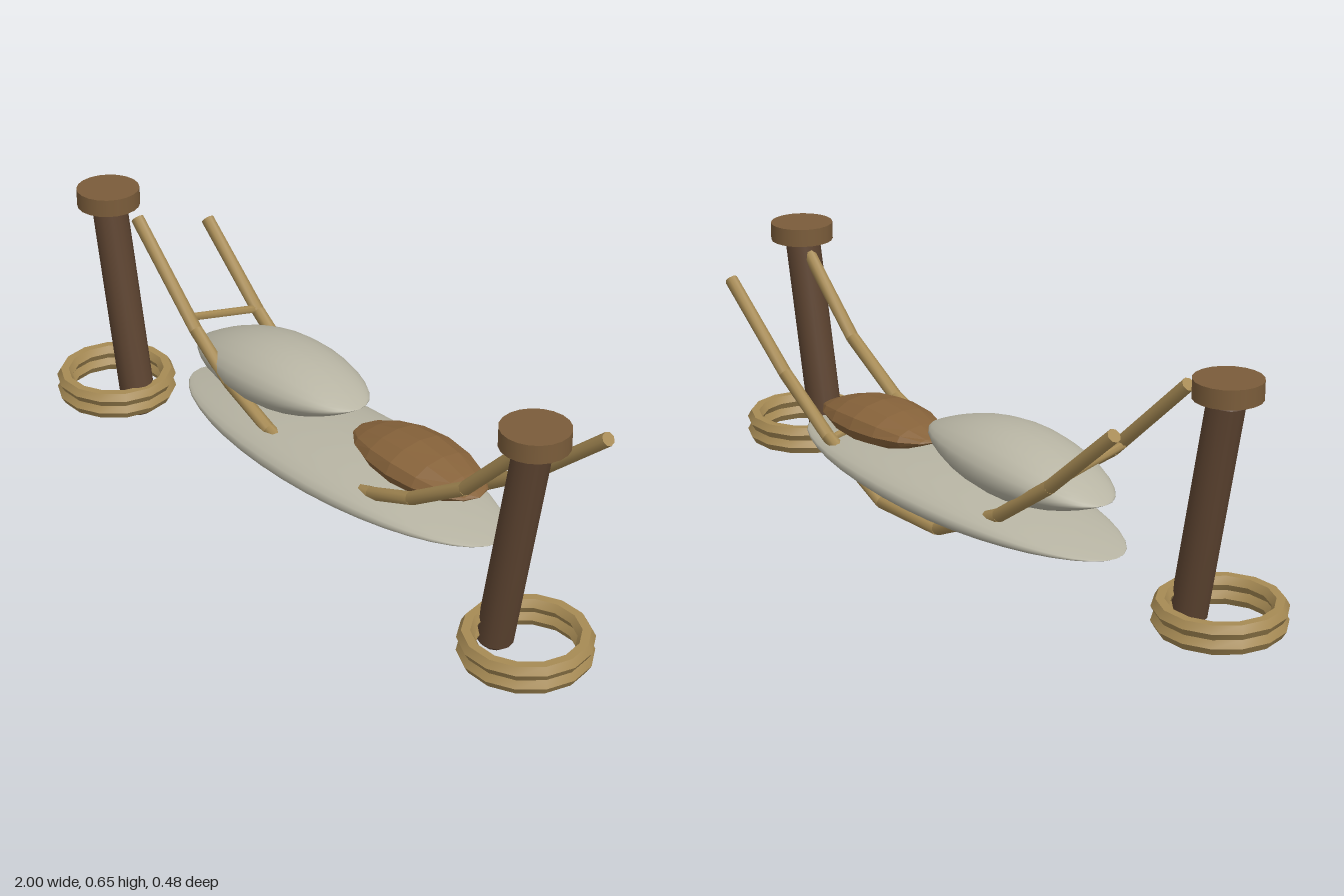
import * as THREE from 'three';
import { toCreasedNormals } from 'three/addons/utils/BufferGeometryUtils.js';

const mat = (name, color, opts = {}) => {
  const m = new THREE.MeshStandardMaterial({ color, ...opts });
  m.name = name;
  return m;
};

export function createModel() {
  const postWood = mat('dark post wood', 0x5c4330);
  const capWood = mat('cap wood', 0x7a5c3a);
  const rope = mat('rope', 0xa68a54);
  const cream = mat('cream cloth', 0xb7b4a3);
  const brown = mat('brown cloth', 0x86623a, { flatShading: true });

  const model = new THREE.Group();
  model.name = 'hammock';
  const add = (name, geo, material, parent = model) => {
    const m = new THREE.Mesh(geo, material);
    m.name = name;
    parent.add(m);
    return m;
  };

  // Round bar between two points
  const UP = new THREE.Vector3(0, 1, 0);
  const bar = (name, a, b, r, parent) => {
    const p = new THREE.Vector3(...a), q = new THREE.Vector3(...b);
    const d = q.clone().sub(p);
    const geo = toCreasedNormals(new THREE.CylinderGeometry(r, r, d.length(), 8), 1);
    const m = add(name, geo, rope, parent);
    m.position.copy(p).add(q).multiplyScalar(0.5);
    m.quaternion.setFromUnitVectors(UP, d.normalize());
  };

  // Rounded in plan and section, pointed along x in elevation
  const lens = (name, material, centre, half, tilt, around, along) => {
    const geo = new THREE.SphereGeometry(1, around, along);
    geo.rotateZ(-Math.PI / 2);
    const pos = geo.attributes.position;
    for (let i = 0; i < pos.count; i++) {
      const x = pos.getX(i);
      pos.setY(i, pos.getY(i) * Math.sqrt(Math.max(0, 1 - x * x)));
    }
    geo.scale(...half);
    geo.computeVertexNormals();
    const m = add(name, geo, material);
    m.position.set(...centre);
    m.rotation.z = tilt;
  };

  // Leaning posts with chamfered ends, level caps and two stacked rope rings
  const postZ = 0.076;
  for (const [side, s] of [['left', 1], ['right', -1]]) {
    const group = new THREE.Group();
    group.name = side + 'PostGroup';
    model.add(group);

    const foot = new THREE.Vector3(0.725 * s, 0.006, postZ);
    const axis = new THREE.Vector3(0.832 * s, 0.606, postZ).sub(foot);
    const len = axis.length();
    const profile = [[0, 0], [0.033, 0], [0.0475, 0.016], [0.0475, len - 0.016], [0.036, len], [0, len]]
      .map(([r, y]) => new THREE.Vector2(r, y));
    const post = add(side + 'Post', toCreasedNormals(new THREE.LatheGeometry(profile, 12), 0.6), postWood, group);
    post.position.copy(foot);
    post.quaternion.setFromUnitVectors(UP, axis.normalize());

    const cap = add(side + 'PostCap', new THREE.CylinderGeometry(0.085, 0.085, 0.048, 20), capWood, group);
    cap.position.set(0.834 * s, 0.626, postZ);

    for (const y of [0.041, 0.078]) {
      const ring = toCreasedNormals(new THREE.TorusGeometry(0.144, 0.022, 6, 14).rotateX(Math.PI / 2), 0.6);
      add(side + 'RopeRing', ring, rope, group).position.set(0.834 * s, y, postZ);
    }
  }

  // Cloth bed and the two cushions
  lens('clothBed', cream, [0, 0.163, -0.045], [0.6, 0.06, 0.198], 0.017, 28, 20);
  lens('creamCushion', cream, [-0.243, 0.298, -0.047], [0.318, 0.086, 0.143], 0.06, 24, 16);
  lens('brownCushion', brown, [0.285, 0.257, -0.067], [0.225, 0.058, 0.113], -0.02, 12, 8);

  // Suspension ropes sagging under the bed
  const ropes = {
    frontRope: [0.07, [[-0.71, 0.602], [-0.46, 0.367], [-0.32, 0.27], [-0.15, 0.2], [-0.05, 0.17],
      [0.15, 0.17], [0.26, 0.2], [0.41, 0.257], [0.6, 0.375], [0.8, 0.575]]],
    backRope: [-0.163, [[-0.71, 0.53], [-0.49, 0.335], [-0.3, 0.2], [-0.06, 0.087],
      [0.17, 0.087], [0.4, 0.2], [0.59, 0.325], [0.835, 0.53]]],
  };
  for (const [name, [z, pts]] of Object.entries(ropes)) {
    const group = new THREE.Group();
    group.name = name;
    model.add(group);
    for (let i = 1; i < pts.length; i++) {
      bar(name + 'Segment', [...pts[i - 1], z], [...pts[i], z], 0.018, group);
    }
  }

  // Thin cross ropes tying front and back together
  for (const [x, yFront, yBack] of [[-0.495, 0.39, 0.34], [-0.05, 0.175, 0.085], [0.39, 0.25, 0.195]]) {
    bar('crossRope', [x, yFront, 0.07], [x, yBack, -0.163], 0.011, model);
  }
  return model;
}
